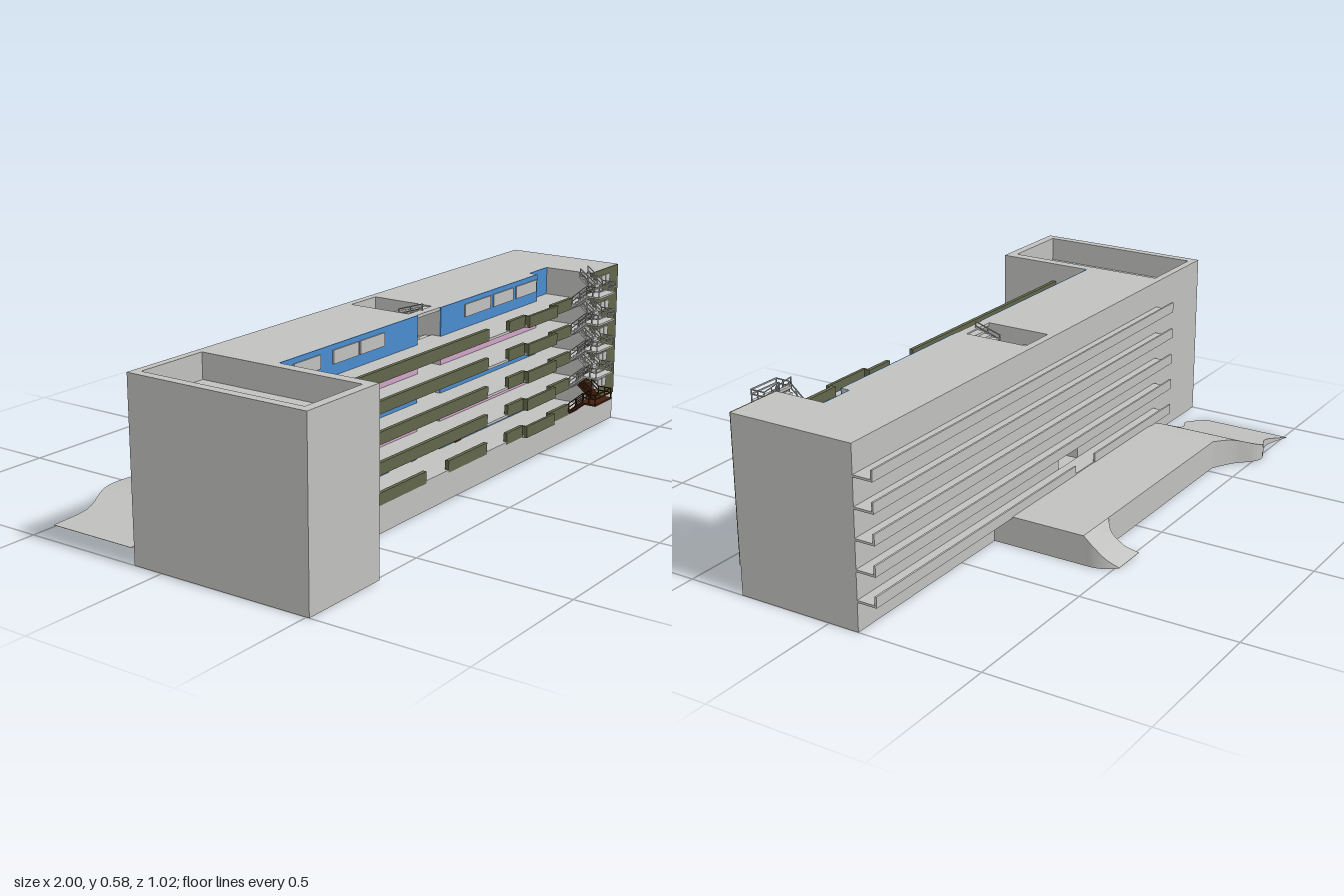
import * as THREE from 'three';

const mat = (name, color, side = THREE.FrontSide) => {
  const m = new THREE.MeshStandardMaterial({ color, side });
  m.name = name;
  return m;
};

export function createModel() {
  const concrete = mat('concrete', 0xc0c0be);
  const blue = mat('blue wall', 0x4a8ccf);
  const pink = mat('pink wall', 0xd0a3c6);
  const olive = mat('olive panel', 0x62664a);
  const brown = mat('brown metal', 0x43200f);
  const pane = mat('pale pane', 0xdcd6cc);

  const model = new THREE.Group();
  model.name = 'galleryBuilding';
  const group = (name) => {
    const g = new THREE.Group();
    g.name = name;
    model.add(g);
    return g;
  };
  const add = (parent, name, geo, m) => {
    const mesh = new THREE.Mesh(geo, m);
    mesh.name = name;
    parent.add(mesh);
    return mesh;
  };
  // Box given by its extents
  const box = (parent, name, m, x0, x1, y0, y1, z0, z1) =>
    add(parent, name, new THREE.BoxGeometry(x1 - x0, y1 - y0, z1 - z0), m)
      .position.set((x0 + x1) / 2, (y0 + y1) / 2, (z0 + z1) / 2);

  const H = 0.555, BASE = 0.095, STOREY = 0.092;
  const floors = [0, 1, 2, 3, 4].map((i) => BASE + i * STOREY);

  // Main block: podium, core with passage and stairwell, end block
  const core = group('mainBlock');
  box(core, 'podium', concrete, -0.69, 1, 0, BASE, -0.1, 0.31);
  box(core, 'coreLeft', concrete, -0.69, -0.17, BASE, H, -0.1, 0.17);
  box(core, 'coreOverPassage', concrete, -0.17, -0.05, 0.185, H, -0.1, 0.17);
  box(core, 'stairwellSideWall', concrete, -0.05, -0.022, BASE, H, -0.1, 0.17);
  box(core, 'stairwellBackWall', concrete, -0.022, 0.105, BASE, H, -0.1, -0.075);
  box(core, 'stairwellLintel', concrete, -0.022, 0.105, 0.545, H, 0.14, 0.17);
  box(core, 'coreRight', concrete, 0.105, 0.69, BASE, H, -0.1, 0.17);
  box(core, 'coreNotch', concrete, 0.69, 0.805, BASE, H, -0.1, 0.14);
  box(core, 'endBlock', concrete, 0.805, 1, BASE, H, -0.1, 0.31);

  // Side tower with a sunken roof
  const tower = group('sideTower');
  box(tower, 'towerBody', concrete, -1, -0.69, 0, 0.475, -0.1, 0.51);
  box(tower, 'roofCurb', concrete, -1, -0.97, 0.475, H, -0.1, 0.51);
  box(tower, 'roofCurb', concrete, -0.725, -0.69, 0.475, H, -0.1, 0.51);
  box(tower, 'roofCurb', concrete, -0.97, -0.725, 0.475, H, -0.1, -0.075);
  box(tower, 'roofCurb', concrete, -0.97, -0.725, 0.475, H, 0.48, 0.51);

  // Painted gallery walls, windows, slabs, parapets and rear ledges
  const gallery = group('galleries');
  const ledges = group('rearLedges');
  const wideWindows = [[-0.63, -0.51], [-0.45, -0.33], [-0.32, -0.2], [0.24, 0.39], [0.41, 0.53], [0.55, 0.68]];
  const slimWindows = [[-0.52, -0.5], [-0.46, -0.2], [0.3, 0.39], [0.47, 0.67]];
  floors.forEach((f, i) => {
    const paint = i % 2 ? pink : blue;
    const top = i === 4 ? H : f + 0.084;
    const spans = [[-0.69, -0.17], [-0.05, -0.022], [0.105, 0.69]];
    if (i) spans.push([-0.17, -0.05]);
    spans.forEach(([a, b]) => box(gallery, 'paintedWall', paint, a, b, f, top, 0.17, 0.174));
    box(gallery, 'notchWall', paint, 0.69, 0.805, f, top, 0.14, 0.144);

    if (i === 0) {
      // Ground-level framed windows
      for (const [a, b] of [[-0.69, -0.19], [0.28, 0.68]]) {
        const n = Math.round((b - a) / 0.05);
        for (let k = 0; k < n; k++) {
          const x = a + k * 0.05;
          box(gallery, 'windowFrame', brown, x, x + 0.044, 0.125, 0.172, 0.174, 0.177);
          for (const dx of [0.004, 0.025])
            for (const y of [0.128, 0.152])
              box(gallery, 'windowPane', pane, x + dx, x + dx + 0.015, y, y + 0.017, 0.177, 0.179);
        }
      }
      box(gallery, 'entranceDoor', brown, 0.19, 0.225, BASE, 0.172, 0.174, 0.178);
    } else {
      (i % 2 ? slimWindows : wideWindows).forEach(([a, b]) =>
        box(gallery, 'windowPlate', concrete, a, b, f + 0.035, f + 0.076, 0.174, 0.178));
      box(gallery, 'slab', concrete, -0.69, 0.69, f - 0.008, f, 0.17, 0.31);
      box(gallery, 'slabNotch', concrete, 0.69, 0.805, f - 0.008, f, 0.14, 0.31);
      box(gallery, 'stairwellSill', concrete, -0.022, 0.105, f - 0.008, f, 0.14, 0.17);
    }

    // Parapets with openings, and a shallow projecting bay
    const runs = i ? [[-0.69, 0.17]] : [[-0.69, -0.17], [-0.05, 0.17]];
    runs.push([0.29, 0.385], [0.565, 0.685]);
    runs.forEach(([a, b]) => box(gallery, 'parapet', olive, a, b, f - 0.008, f + 0.03, 0.298, 0.311));
    box(gallery, 'baySlab', concrete, 0.385, 0.565, f - 0.008, f, 0.31, 0.318);
    box(gallery, 'bayParapet', olive, 0.385, 0.565, f - 0.008, f + 0.03, 0.318, 0.328);
    for (const x of [0.385, 0.557]) box(gallery, 'bayCheek', olive, x, x + 0.008, f - 0.008, f + 0.03, 0.298, 0.318);

    // Rear L-shaped ledges
    box(ledges, 'ledge', concrete, -0.69, 1, f - 0.004, f + 0.003, -0.163, -0.1);
    (i ? [[-0.69, 1]] : [[-0.69, -0.17], [-0.05, 1]]).forEach(([a, b]) =>
      box(ledges, 'ledgeLip', concrete, a, b, f - 0.004, f + 0.03, -0.165, -0.159));

    // End block windows
    for (let k = 0; k < 3; k++)
      box(gallery, 'endWindow', concrete, 0.845 + k * 0.03, 0.872 + k * 0.03, f + 0.042, f + 0.072, 0.315, 0.319);
  });
  box(gallery, 'endPanel', olive, 0.805, 0.998, BASE, H, 0.31, 0.315);

  // Stepped flight running along z, with a sloping underside
  const flight = (parent, m, x0, x1, z0, y0, z1, y1, n) => {
    const s = new THREE.Shape();
    const dz = (z1 - z0) / n, dy = (y1 - y0) / n;
    s.moveTo(z0, y0 - 0.006);
    for (let i = 0; i < n; i++) {
      s.lineTo(z0 + i * dz, y0 + (i + 1) * dy);
      s.lineTo(z0 + (i + 1) * dz, y0 + (i + 1) * dy);
    }
    s.lineTo(z1, y1 - 0.008);
    const g = new THREE.ExtrudeGeometry(s, { depth: x1 - x0, bevelEnabled: false });
    g.rotateY(-Math.PI / 2);
    g.translate(x1, 0, 0);
    add(parent, 'flight', g, m);
  };
  // Sloping handrails with posts at both ends
  const rail = (parent, m, x, z0, y0, z1, y1) => {
    const len = Math.hypot(z1 - z0, y1 - y0);
    for (const h of [0.018, 0.032]) {
      const bar = add(parent, 'handrail', new THREE.BoxGeometry(0.003, 0.003, len), m);
      bar.position.set(x, (y0 + y1) / 2 + h, (z0 + z1) / 2);
      bar.rotation.x = -Math.atan2(y1 - y0, z1 - z0);
    }
    for (let k = 0; k <= 2; k++) {
      const y = y0 + (y1 - y0) * k / 2, z = z0 + (z1 - z0) * k / 2;
      box(parent, 'railPost', m, x - 0.0015, x + 0.0015, y, y + 0.033, z - 0.0015, z + 0.0015);
    }
  };

  // Outside zigzag stair and inside stairwell, one turn per storey
  const outer = group('outsideStair');
  const inner = group('insideStair');
  floors.forEach((f, i) => {
    const m = i ? concrete : brown;
    const mid = f + 0.044, up = f + STOREY;
    flight(outer, m, 0.69, 0.742, 0.31, f, 0.362, mid, 5);
    flight(outer, m, 0.748, 0.8, 0.362, mid, 0.305, up, 5);
    box(outer, 'landing', m, 0.688, 0.802, mid - 0.006, mid, 0.36, 0.411);
    for (const x of [0.69, 0.742]) rail(outer, m, x, 0.31, f, 0.362, mid);
    for (const x of [0.748, 0.8]) rail(outer, m, x, 0.362, mid, 0.305, up - 0.006);
    for (const x of [0.69, 0.8]) rail(outer, m, x, 0.362, mid, 0.409, mid);
    for (const h of [0.018, 0.032]) box(outer, 'landingRail', m, 0.688, 0.802, mid + h - 0.002, mid + h + 0.002, 0.407, 0.411);

    flight(inner, concrete, -0.022, 0.038, 0.14, f, -0.015, mid, 6);
    flight(inner, concrete, 0.044, 0.105, -0.015, mid, 0.14, up - 0.004, 6);
    box(inner, 'landing', concrete, -0.022, 0.105, mid - 0.008, mid, -0.075, -0.015);
  });
  rail(inner, concrete, 0.041, 0.06, 0.515, 0.148, 0.543);

  // Solid lofted through four-cornered sections
  const loft = (parent, name, rings) => {
    const pos = [];
    const quad = (a, b, c, d) => [a, b, c, a, c, d].forEach((p) => pos.push(...p));
    for (let i = 0; i < rings.length - 1; i++)
      for (let k = 0; k < 4; k++)
        quad(rings[i][k], rings[i + 1][k], rings[i + 1][(k + 1) % 4], rings[i][(k + 1) % 4]);
    quad(...rings[0]);
    quad(...[...rings[rings.length - 1]].reverse());
    const g = new THREE.BufferGeometry();
    g.setAttribute('position', new THREE.Float32BufferAttribute(pos, 3));
    g.computeVertexNormals();
    add(parent, name, g, concrete);
  };
  // Sections between two top edges, dropped to the ground
  const betweenEdges = (e0, e1, n = 24) => {
    const [c0, c1] = [e0, e1].map((e) => new THREE.CatmullRomCurve3(e.map((p) => new THREE.Vector3(...p))));
    return Array.from({ length: n + 1 }, (_, i) => {
      const a = c0.getPoint(i / n), b = c1.getPoint(i / n);
      const ya = Math.max(a.y, 0.001), yb = Math.max(b.y, 0.001);
      return [[a.x, 0, a.z], [a.x, ya, a.z], [b.x, yb, b.z], [b.x, 0, b.z]];
    });
  };

  // Rear terrace with a wavy ramp at one end and a curled ramp at the other
  const terrace = group('rearTerrace');
  box(terrace, 'terraceDeck', concrete, -0.53, 0.323, 0, BASE, -0.41, -0.1);
  loft(terrace, 'wavyRamp', betweenEdges(
    [[-0.91, 0.001, -0.2], [-0.8, 0.025, -0.175], [-0.68, 0.055, -0.215], [-0.6, 0.085, -0.165], [-0.53, BASE, -0.12]],
    [[-0.91, 0.001, -0.51], [-0.8, 0.025, -0.48], [-0.68, 0.055, -0.515], [-0.6, 0.085, -0.45], [-0.53, BASE, -0.41]]));
  loft(terrace, 'curledRamp', betweenEdges(
    [[0.323, BASE, -0.41], [0.322, 0.065, -0.445], [0.31, 0.03, -0.48], [0.285, 0.001, -0.51]],
    [[0.175, BASE, -0.41], [0.2, 0.065, -0.435], [0.195, 0.03, -0.475], [0.165, 0.001, -0.51]]));

  return model;
}
